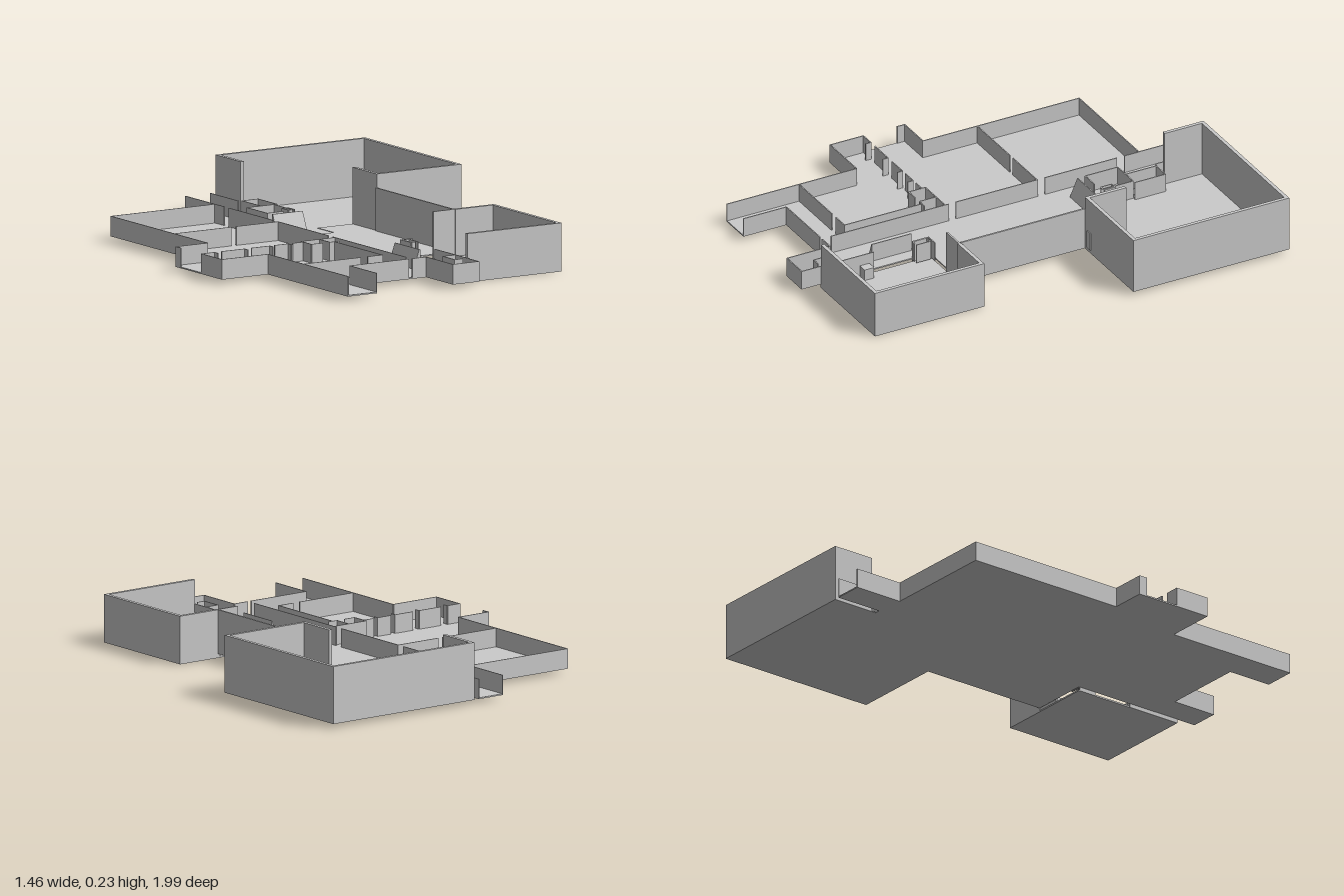
import * as THREE from 'three';

const BASE = 0.015, FLOOR = 0.02, LOW = 0.09, MID = 0.18, HIGH = 0.23;

export function createModel() {
  const model = new THREE.Group();
  model.name = 'floorPlan';
  const plan = new THREE.Group(); // plan axes, turned 20 degrees to the frame
  plan.name = 'building';
  plan.rotation.y = THREE.MathUtils.degToRad(20);
  model.add(plan);
  const mat = new THREE.MeshStandardMaterial({ color: 0xcccccc, flatShading: true, side: THREE.DoubleSide });

  const add = (name, geo) => {
    const m = new THREE.Mesh(geo, mat);
    m.name = name;
    plan.add(m);
    return m;
  };
  // Block between two plan corners and two heights
  const block = (name, x0, x1, z0, z1, y0, y1) =>
    add(name, new THREE.BoxGeometry(x1 - x0, y1 - y0, z1 - z0)
      .translate((x0 + x1) / 2, (y0 + y1) / 2, (z0 + z1) / 2));
  // Walls: along x at a given z, or along z at a given x
  const wallX = (name, z, x0, x1, top = LOW, t = 0.004, y0 = BASE) =>
    block(name, x0, x1, z - t / 2, z + t / 2, y0, top);
  const wallZ = (name, x, z0, z1, top = LOW, t = 0.004, y0 = BASE) =>
    block(name, x - t / 2, x + t / 2, z0, z1, y0, top);
  // Slab from a plan outline
  const slab = (name, pts, y0, y1) => {
    const s = new THREE.Shape(pts.map(([x, z]) => new THREE.Vector2(x, -z)));
    const g = new THREE.ExtrudeGeometry(s, { depth: y1 - y0, bevelEnabled: false });
    add(name, g.rotateX(-Math.PI / 2).translate(0, y0, 0));
  };

  // Floors
  slab('mainFloor', [
    [-0.55, -0.623], [-0.1, -0.623], [-0.1, -0.82], [0.012, -0.82], [0.012, -0.632], [0.032, -0.632],
    [0.065, -0.5], [0.065, -0.225], [0.162, -0.225], [0.162, -0.335], [0.313, -0.335],
    [0.313, 0.345], [0.08, 0.345], [0.08, 0.88], [-0.035, 0.88], [-0.035, 0.7], [-0.362, 0.7],
    [-0.362, 0.878], [-0.489, 0.878], [-0.489, 0.34], [-0.688, 0.34], [-0.688, 0.026], [-0.55, 0.026],
  ], BASE, FLOOR);
  slab('bigRoomFloor', [
    [0.032, -0.819], [0.68, -0.819], [0.68, -0.17], [0.313, -0.17], [0.313, -0.335],
    [0.162, -0.335], [0.162, -0.225], [0.065, -0.225], [0.065, -0.5], [0.032, -0.632],
  ], BASE, FLOOR - 0.002);
  block('smallRoomFloor', 0.08, 0.488, 0.345, 0.8, 0, 0.006);

  // Big room
  const T = 0.014, h = T / 2;
  wallX('bigRoomBackWall', -0.819 + h, 0.032, 0.68, HIGH, T);
  wallZ('bigRoomOuterWall', 0.68 - h, -0.819, -0.17, HIGH, T);
  wallX('bigRoomFrontWall', -0.17 - h, 0.313, 0.68, HIGH, T);
  wallZ('bigRoomInnerWall', 0.313 + h, -0.335, -0.17, HIGH, T);
  wallZ('bigRoomCornerWall', 0.032 + h, -0.819, -0.65, HIGH, T);
  block('bigRoomDoor', 0.335, 0.36, -0.172, -0.166, 0.03, 0.1);

  // Hall and small room
  wallZ('hallOuterWall', 0.313 - h / 2, -0.17, 0.345, MID, h);
  wallX('smallRoomBackWall', 0.345 + h, 0.313, 0.488, MID, T, 0);
  wallX('smallRoomBackReturn', 0.345 + h, 0.22, 0.313, MID, h, 0);
  wallZ('smallRoomOuterWall', 0.488 - h, 0.345, 0.8, MID, T, 0);
  wallX('smallRoomFrontWall', 0.8 - h, 0.08, 0.488, MID, T, 0);
  wallX('smallRoomLowWall', 0.352, 0.08, 0.13);
  for (const [z0, z1] of [[0.35, 0.42], [0.58, 0.8]]) wallZ('smallRoomSideWall', 0.08, z0, z1, LOW, 0.004, 0);
  block('smallRoomStep', 0.084, 0.12, 0.6, 0.64, 0.006, 0.05);

  // Small closets made of four low walls, with a doorway in the front one
  const closet = (x0, x1, z0, z1) => {
    wallX('closetBack', z0, x0, x1);
    wallX('closetFront', z1, x0, x0 + (x1 - x0) * 0.6);
    wallZ('closetSide', x0, z0, z1);
    wallZ('closetSide', x1, z0, z1);
  };
  closet(0.023, 0.093, -0.627, -0.5);
  closet(-0.037, 0.08, -0.5, -0.365);
  closet(0.062, 0.088, -0.42, -0.375);
  closet(-0.245, -0.165, 0.185, 0.255);
  closet(-0.165, -0.097, 0.185, 0.255);
  closet(0.025, 0.08, 0.72, 0.8);
  closet(0.083, 0.11, 0.36, 0.42);

  // Leaning ramps in the hall
  const ramp = (name, len, run, x, z, turn) => {
    const s = new THREE.Shape([[0, 0], [run, 0], [run, 0.07], [run - 0.004, 0.07]].map(p => new THREE.Vector2(...p)));
    const m = add(name, new THREE.ExtrudeGeometry(s, { depth: len, bevelEnabled: false }));
    m.position.set(x, FLOOR, z);
    m.rotation.y = turn;
  };
  ramp('sideRamp', 0.165, 0.03, 0, 0.395, 0);
  ramp('backRamp', 0.13, 0.035, -0.035, -0.3, Math.PI / 2);

  // West wing outer walls
  wallX('westBackWall', -0.622, -0.55, -0.1);
  wallZ('westOuterWall', -0.548, -0.623, 0.026);
  wallX('alcoveBackWall', 0.028, -0.688, -0.548);
  wallZ('alcoveOuterWall', -0.686, 0.026, 0.06);
  wallZ('alcoveOuterWall', -0.686, 0.2, 0.34);
  wallX('alcoveFrontWall', 0.338, -0.688, -0.489);
  wallZ('southOuterWall', -0.487, 0.34, 0.878);
  wallZ('southPorchWall', -0.364, 0.7, 0.878);
  wallX('southFrontWall', 0.698, -0.364, -0.11);
  wallX('hallFrontWall', 0.698, -0.095, -0.035);
  wallZ('frontPorchWall', -0.033, 0.7, 0.88);
  wallZ('frontPorchWall', 0.078, 0.8, 0.88);
  wallX('frontPorchEnd', 0.878, -0.035, 0.08);
  wallZ('backPorchWall', -0.098, -0.82, -0.623);
  wallZ('backPorchWall', 0.01, -0.82, -0.632);

  // Partitions, broken by doorways
  for (const [z0, z1] of [[-0.623, -0.56], [-0.53, -0.23], [-0.2, 0.14], [0.17, 0.66]])
    wallZ('hallPartition', -0.097, z0, z1);
  for (const [x0, x1] of [[-0.55, -0.3], [-0.28, -0.097]]) wallX('northPartition', -0.198, x0, x1);
  for (const [x0, x1] of [[-0.688, -0.63], [-0.6, -0.5], [-0.47, -0.39], [-0.37, -0.31], [-0.29, -0.245]])
    wallX('middlePartition', 0.2, x0, x1);
  for (const x of [-0.63, -0.5, -0.39, -0.31]) wallZ('doorJamb', x, 0.2, 0.222);
  wallX('southPartition', 0.577, -0.489, -0.24);
  wallX('southPartition', 0.577, -0.21, -0.143);
  wallZ('corridorPartition', -0.145, 0.255, 0.577);

  return model;
}
